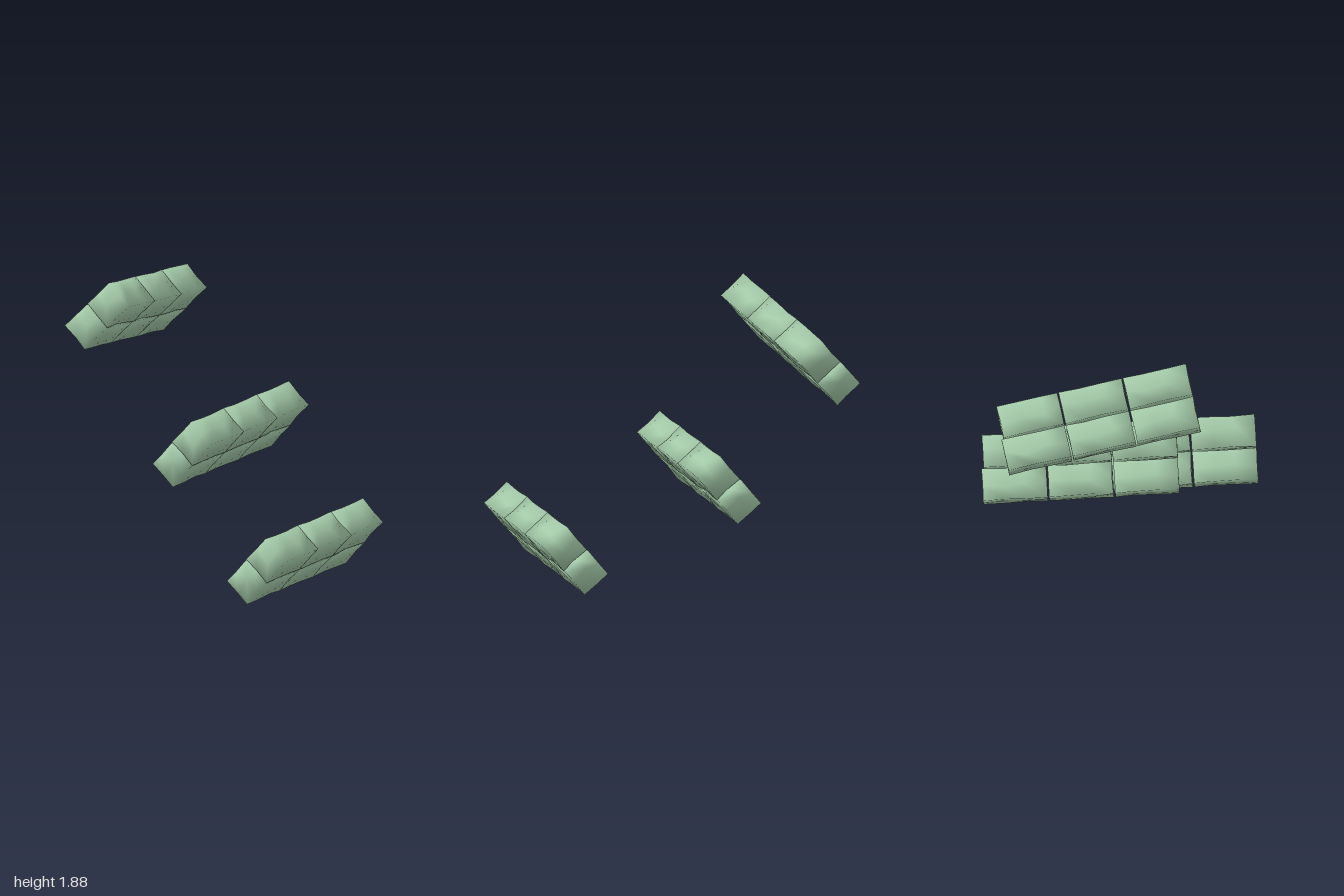
import * as THREE from 'three';
import { mergeVertices } from 'three/addons/utils/BufferGeometryUtils.js';

const ROWS = 2, COLS = 3;
const BLOCK = { w: 0.217, d: 0.207, l: 0.424 };
const GAP = 0.006;

// Small seeded generator for the hewn stone surface
function seeded(seed) {
  let s = seed;
  return () => (s = (s * 16807) % 2147483647) / 2147483647;
}

// One rough block: shared vertices give soft shading across its edges
function blockGeometry(length, rand) {
  const half = [(BLOCK.w - GAP) / 2, BLOCK.d / 2, (length - GAP) / 2];
  let geo = new THREE.BoxGeometry(half[0] * 2, half[1] * 2, half[2] * 2, 2, 2, 3);
  geo.deleteAttribute('uv');
  geo.deleteAttribute('normal');
  geo = mergeVertices(geo);
  const pos = geo.attributes.position;
  for (let i = 0; i < pos.count; i++) {
    const p = [pos.getX(i), pos.getY(i), pos.getZ(i)];
    const onFace = p.map((v, k) => Math.abs(Math.abs(v) - half[k]) < 1e-4);
    const corner = onFace.every(Boolean);
    // Dent faces and edges inward, slide the other coordinates a little
    const q = p.map((v, k) => {
      const r = rand();
      if (corner) return v - Math.sign(v) * r * 0.003;
      return onFace[k] ? v - Math.sign(v) * r * 0.008 : v + (r - 0.5) * 0.05;
    });
    pos.setXYZ(i, ...q);
  }
  geo.computeVertexNormals();
  return geo;
}

// A slab of two rows of three blocks, starting at its front left corner
function makeSlab(name, corner, widthDir, lengthDir, seed, material) {
  const slab = new THREE.Group();
  slab.name = name;
  const rand = seeded(seed);
  for (let i = 0; i < ROWS; i++) {
    for (let j = 0; j < COLS; j++) {
      // The last block of the upper row is a little shorter
      const length = BLOCK.l - (i === 1 && j === COLS - 1 ? 0.014 : 0);
      const block = new THREE.Mesh(blockGeometry(length, rand), material);
      block.name = `${i ? 'upper' : 'lower'}Block${j + 1}`;
      block.position.set((i + 0.5) * BLOCK.w, BLOCK.d / 2, j * BLOCK.l + length / 2);
      slab.add(block);
    }
  }
  // Local axes: x across the rows, y through the thickness, z towards the back
  const a = new THREE.Vector3(...lengthDir).normalize();
  const d = new THREE.Vector3().crossVectors(a, new THREE.Vector3(...widthDir)).normalize();
  const w = new THREE.Vector3().crossVectors(d, a);
  slab.quaternion.setFromRotationMatrix(new THREE.Matrix4().makeBasis(w, d, a));
  slab.position.set(...corner);
  return slab;
}

export function createModel() {
  const model = new THREE.Group();
  model.name = 'floatingBlocks';
  const stone = new THREE.MeshStandardMaterial({ color: 0xa3c9a8 });

  // Two parallel slabs and a steeper one above
  const width = [0.285, 0.33, 0.002], length = [0.083, -0.065, -1.268];
  model.add(makeSlab('lowerSlab', [0.47, 0.21, 0.92], width, length, 4711, stone));
  model.add(makeSlab('middleSlab', [-0.355, 0.72, 0.335], width, length, 4711, stone));
  model.add(makeSlab('upperSlab', [-0.945, 1.59, 0.415],
    [0.29, 0.315, -0.06], [-0.053, -0.232, -1.285], 9973, stone));
  return model;
}
